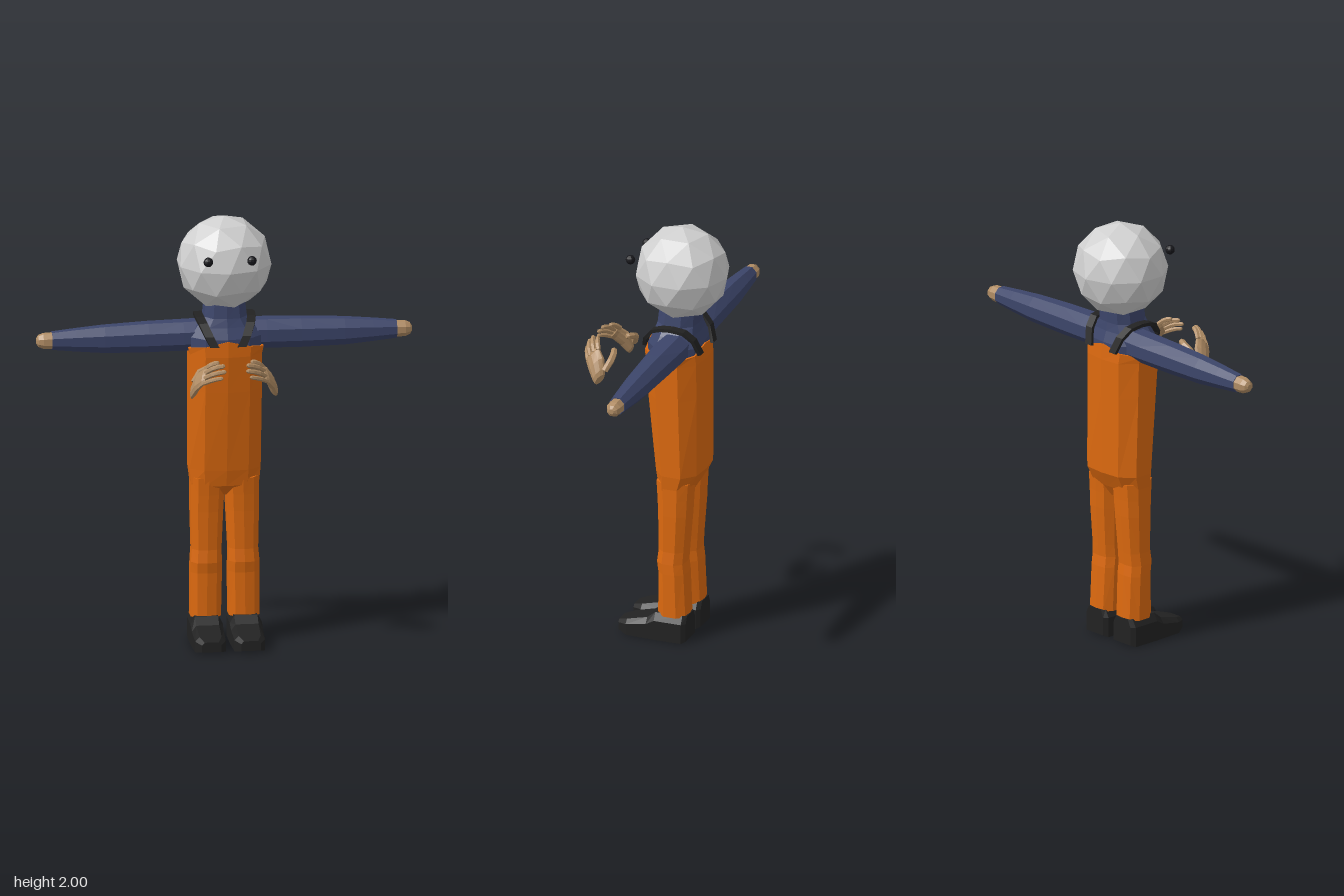
import * as THREE from 'three';

const V = (x, y, z) => new THREE.Vector3(x, y, z);
const mat = (name, color) => {
  const m = new THREE.MeshStandardMaterial({ color, flatShading: true });
  m.name = name;
  return m;
};

// Closed skin through a list of rings (equal point counts), turned outward by its volume
function loft(rings, flip = 1) {
  const tris = [];
  const n = rings[0].length;
  const mid = (r) => r.reduce((s, p) => s.add(p), V(0, 0, 0)).divideScalar(n);
  const first = mid(rings[0]);
  const last = mid(rings[rings.length - 1]);
  for (let j = 0; j < n; j++) {
    const k = (j + 1) % n;
    for (let i = 0; i < rings.length - 1; i++) {
      const a = rings[i][j], b = rings[i][k], c = rings[i + 1][k], d = rings[i + 1][j];
      tris.push([a, b, c], [a, c, d]);
    }
    tris.push([first, rings[0][k], rings[0][j]]);
    tris.push([last, rings[rings.length - 1][j], rings[rings.length - 1][k]]);
  }
  let volume = 0;
  for (const [a, b, c] of tris) {
    volume += a.clone().sub(first).dot(b.clone().sub(first).cross(c.clone().sub(first)));
  }
  const pos = [];
  for (const [a, b, c] of tris) {
    const t = volume * flip > 0 ? [a, b, c] : [a, c, b];
    for (const p of t) pos.push(p.x * flip, p.y, p.z);
  }
  const g = new THREE.BufferGeometry();
  g.setAttribute('position', new THREE.Float32BufferAttribute(pos, 3));
  g.computeVertexNormals();
  return g;
}

// Rounded-box cross-section used by the torso, shirt and legs
const half = [[0, 1], [0.62, 0.9], [1, 0.42], [1, -0.42], [0.62, -0.92], [0, -1]];
const section = [...half, ...half.slice(1, 5).reverse().map(([x, z]) => [-x, z])];
const bodyRing = ([y, cx, hw, zf, zb, droop = 0]) => section.map(([x, z]) =>
  V(cx + x * hw, y - droop * Math.abs(x), (zf + zb) / 2 + (z * (zf - zb)) / 2));

const ellipse = (p, A, ra, B, rb, n) => Array.from({ length: n }, (_, i) => {
  const t = ((i + 0.5) / n) * Math.PI * 2;
  return p.clone().addScaledVector(A, ra * Math.cos(t)).addScaledVector(B, rb * Math.sin(t));
});

export function createModel() {
  const model = new THREE.Group();
  model.name = 'figure';
  const grey = mat('headGrey', 0xcfcfcf);
  const orange = mat('overallOrange', 0xdc690f);
  const blue = mat('shirtBlue', 0x3c456a);
  const black = mat('bootBlack', 0x222222);
  const eyeBlack = mat('eyeBlack', 0x17171b);
  const skin = mat('skinTan', 0xb08c64);

  const add = (name, g, m, parent = model) => {
    const mesh = new THREE.Mesh(g, m);
    mesh.name = name;
    parent.add(mesh);
    return mesh;
  };
  const pair = (name, rings, m) => {
    add(`${name}Left`, loft(rings), m);
    add(`${name}Right`, loft(rings, -1), m);
  };

  // Faceted head
  const headGeo = new THREE.IcosahedronGeometry(0.219, 1);
  headGeo.rotateZ(Math.atan(2 / (1 + Math.sqrt(5))));
  headGeo.computeVertexNormals();
  add('head', headGeo, grey).position.set(0, 1.782, -0.115);

  // Eyes
  for (const s of [1, -1]) {
    add(s > 0 ? 'eyeLeft' : 'eyeRight', new THREE.SphereGeometry(0.022, 10, 8), eyeBlack)
      .position.set(s * 0.1, 1.843, 0.1);
  }

  // Overall body: y, centre x, half width, front z, back z, droop at the sides
  add('overallBody', loft([
    [0.69, 0, 0.1, -0.08, -0.16],
    [0.745, 0, 0.155, -0.028, -0.195],
    [0.82, 0, 0.163, -0.015, -0.233],
    [1.2, 0, 0.165, 0.025, -0.235],
    [1.37, 0, 0.165, 0.04, -0.235],
    [1.445, 0, 0.172, 0.038, -0.23, 0.045],
  ].map(bodyRing)), orange);

  // Shirt chest and neck
  add('shirt', loft([
    [1.36, 0, 0.16, 0.03, -0.225],
    [1.45, 0, 0.16, 0.026, -0.222],
    [1.5, 0, 0.13, 0.004, -0.205],
    [1.54, 0, 0.098, -0.008, -0.198],
    [1.61, 0, 0.09, -0.015, -0.2],
  ].map(bodyRing)), blue);

  // Trouser legs with a slight knee
  pair('trouserLeg', [
    [0.12, 0.088, 0.07, -0.042, -0.188],
    [0.33, 0.086, 0.072, -0.043, -0.178],
    [0.38, 0.086, 0.071, -0.036, -0.172],
    [0.44, 0.084, 0.068, -0.043, -0.176],
    [0.62, 0.082, 0.074, -0.04, -0.19],
    [0.7, 0.08, 0.076, -0.036, -0.194],
    [0.78, 0.078, 0.078, -0.03, -0.2],
  ].map(bodyRing), orange);

  // Boots: z, half width, top height, sole height
  pair('boot', [
    [-0.19, 0.055, 0.128, 0.008],
    [-0.172, 0.072, 0.13, 0],
    [-0.04, 0.074, 0.13, 0],
    [0.0, 0.073, 0.098, 0],
    [0.1, 0.07, 0.072, 0],
    [0.145, 0.045, 0.058, 0.012],
  ].map(([z, w, top, sole]) => [[-1, 0], [-1, 0.72], [-0.72, 1], [0.72, 1], [1, 0.72], [1, 0]]
    .map(([x, y]) => V(0.09 + x * w, sole + y * (top - sole), z))), black);

  // Sleeves: x, centre y, vertical radius, depth radius
  const up = V(0, 1, 0);
  const deep = V(0, 0, 1);
  const armRing = ([x, y, ry, rz]) => ellipse(V(x, y, -0.118), up, ry * 1.05, deep, rz * 1.05, 8);
  pair('sleeve', [
    [0.08, 1.445, 0.07, 0.075],
    [0.19, 1.443, 0.069, 0.074],
    [0.35, 1.44, 0.069, 0.066],
    [0.55, 1.437, 0.063, 0.057],
    [0.68, 1.437, 0.052, 0.047],
    [0.79, 1.437, 0.041, 0.038],
  ].map(armRing), blue);

  // Rounded wrist stumps
  pair('wrist', [
    [0.785, 1.437, 0.037, 0.036],
    [0.83, 1.437, 0.035, 0.034],
    [0.852, 1.437, 0.026, 0.025],
    [0.861, 1.437, 0.012, 0.012],
  ].map(armRing), skin);

  // Shoulder straps
  pair('strap', [
    [0.062, 1.42, 0.042], [0.085, 1.465, 0.028], [0.108, 1.515, -0.015], [0.118, 1.533, -0.06],
    [0.12, 1.538, -0.11], [0.116, 1.53, -0.17], [0.1, 1.49, -0.212], [0.078, 1.42, -0.236],
  ].map(([x, y, z]) => {
    const out = V(0, y - 1.38, z + 0.1).normalize();
    return [[-1, -1], [1, -1], [1, 1], [-1, 1]].map(([w, h]) =>
      V(x + w * 0.02, y, z).addScaledVector(out, h * 0.008));
  }), black);

  // Floating hands: palm, four fingers and a thumb
  const side = V(-0.02, 0.06, -0.045).normalize();
  const normal = V(-0.08, 0.06, 0.05).cross(side).normalize();
  pair('palm', [
    [0.188, 1.262, 0.215, 0.03, 0.016],
    [0.182, 1.278, 0.22, 0.039, 0.023],
    [0.165, 1.318, 0.238, 0.048, 0.023],
    [0.14, 1.35, 0.266, 0.046, 0.016],
    [0.128, 1.36, 0.274, 0.042, 0.012],
  ].map(([x, y, z, a, b]) => ellipse(V(x, y, z), side, a, normal, b, 10)), skin);

  const digit = (name, points, r) => {
    const path = new THREE.CatmullRomCurve3(points.map((p) => V(...p)));
    const taper = [1, 1.05, 1, 0.9, 0.45];
    const rings = taper.map((k, i) => {
      const t = [0, 0.35, 0.65, 0.92, 1][i];
      const d = path.getTangent(t);
      const a = side.clone().addScaledVector(d, -side.dot(d)).normalize();
      return ellipse(path.getPoint(t), a, r * k, d.clone().cross(a), r * k, 6);
    });
    pair(name, rings, skin);
  };
  digit('indexFinger', [[0.132, 1.382, 0.245], [0.102, 1.407, 0.262], [0.072, 1.416, 0.272]], 0.0115);
  digit('middleFinger', [[0.135, 1.368, 0.265], [0.092, 1.398, 0.29], [0.05, 1.408, 0.302]], 0.0115);
  digit('ringFinger', [[0.14, 1.348, 0.28], [0.094, 1.375, 0.308], [0.046, 1.386, 0.32]], 0.011);
  digit('littleFinger', [[0.147, 1.325, 0.288], [0.104, 1.347, 0.313], [0.062, 1.358, 0.328]], 0.01);
  digit('thumb', [[0.178, 1.305, 0.195], [0.15, 1.345, 0.177], [0.11, 1.365, 0.178], [0.075, 1.372, 0.192]], 0.016);

  return model;
}
